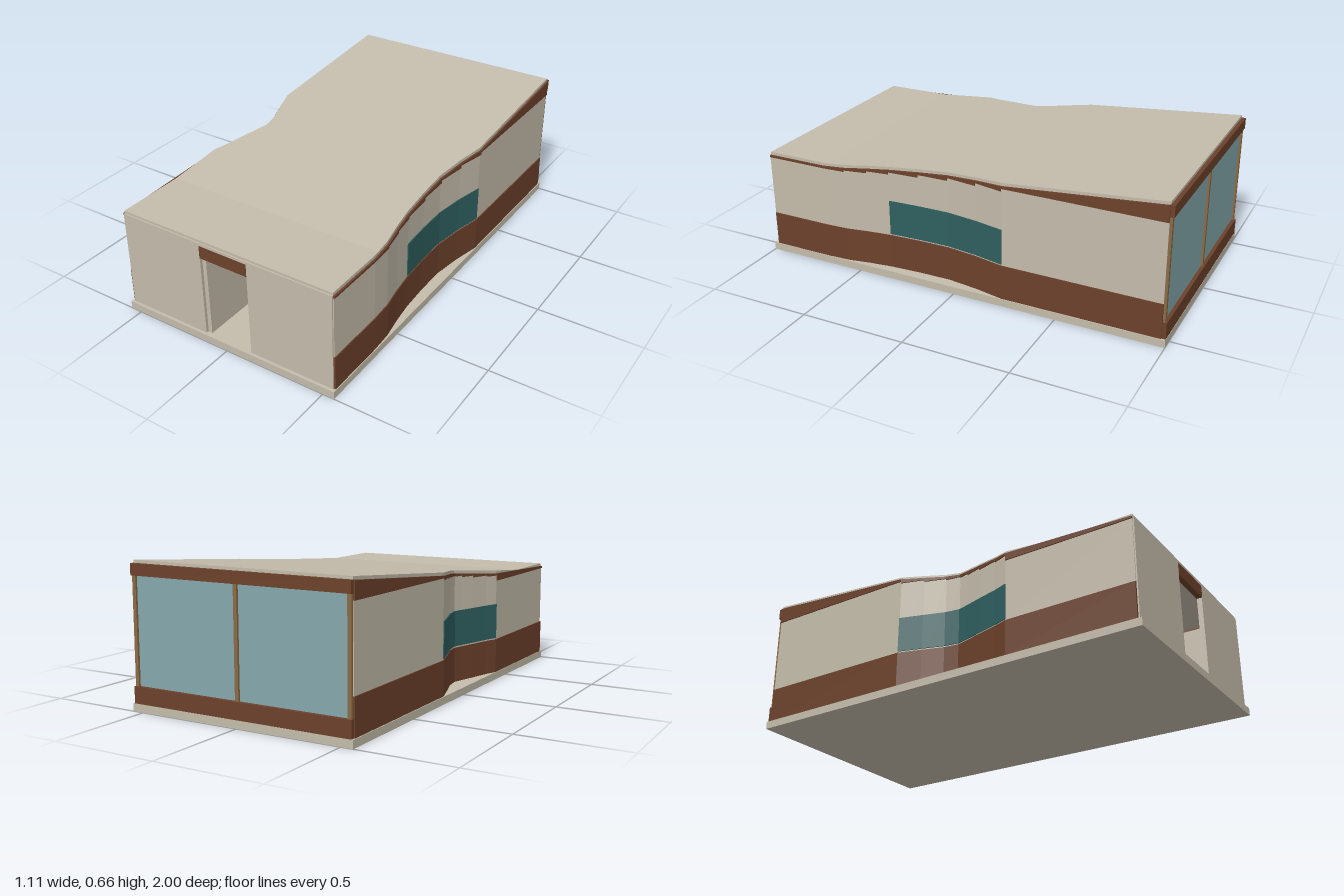
import * as THREE from 'three';

const mat = (name, color, side = THREE.FrontSide) => {
  const m = new THREE.MeshStandardMaterial({ color, side });
  m.name = name;
  return m;
};

// Flat-faced bar through rectangular sections [z, x0, x1, y0, y1], front to back
function loft(sections) {
  const pos = [];
  const rings = sections.map(([z, x0, x1, y0, y1]) => [[x0, y0, z], [x1, y0, z], [x1, y1, z], [x0, y1, z]]);
  const quad = (a, b, c, d) => pos.push(...a, ...b, ...c, ...a, ...c, ...d);
  for (let s = 0; s < rings.length - 1; s++) {
    const a = rings[s], b = rings[s + 1];
    for (let i = 0; i < 4; i++) quad(a[i], b[i], b[(i + 1) % 4], a[(i + 1) % 4]);
  }
  const f = rings[0], e = rings[rings.length - 1];
  quad(f[0], f[1], f[2], f[3]);
  quad(e[3], e[2], e[1], e[0]);
  const g = new THREE.BufferGeometry();
  g.setAttribute('position', new THREE.Float32BufferAttribute(pos, 3));
  g.computeVertexNormals();
  return g;
}

// Plan of each long side as [z, distance from the centre line]
const RIGHT = [[0.98, 0.543], [0.68, 0.543], [0.57, 0.537], [0.46, 0.518], [0.35, 0.504], [0.2, 0.496],
  [0.05, 0.494], [-0.1, 0.514], [-0.24, 0.543], [-0.98, 0.543]];
const LEFT = [[0.98, 0.545], [0.37, 0.545], [0.3, 0.522], [0.2, 0.497], [0.12, 0.475], [0.07, 0.463],
  [0, 0.474], [-0.1, 0.508], [-0.21, 0.543], [-0.98, 0.543]];

function across(path, z) {
  for (let i = 0; i < path.length - 1; i++) {
    const [z0, x0] = path[i], [z1, x1] = path[i + 1];
    if (z <= z0 && z >= z1) return x0 + ((x1 - x0) * (z0 - z)) / (z0 - z1);
  }
  return path[0][1];
}

// Roof is level at the front, then rises to the back
const roofTop = (z) => 0.515 + (z < 0.65 ? ((0.65 - z) * 0.145) / 1.63 : 0);
const roofUnder = (z) => roofTop(z) - 0.014;

export function createModel() {
  const model = new THREE.Group();
  const plaster = mat('plaster', 0xc4bcab);
  const brown = mat('brown cladding', 0x6c412b);
  const teal = mat('dark teal glass', 0x2f5f5f);
  const glass = mat('pale blue glass', 0x85a9ad, THREE.DoubleSide);
  const tan = mat('tan frame', 0x8a6a45);

  const add = (name, geometry, material, parent = model) => {
    const m = new THREE.Mesh(geometry, material);
    m.name = name;
    parent.add(m);
    return m;
  };
  const box = (name, material, x0, x1, y0, y1, z0, z1) => {
    const m = add(name, new THREE.BoxGeometry(x1 - x0, y1 - y0, z1 - z0), material);
    m.position.set((x0 + x1) / 2, (y0 + y1) / 2, (z0 + z1) / 2);
  };

  box('baseSlab', plaster, -0.556, 0.556, 0, 0.036, -1, 1);

  // Roof sheet following both pinched sides
  const zs = [...new Set([...RIGHT, ...LEFT].map((p) => p[0]).concat(0.65))].sort((a, b) => b - a);
  add('roof', loft(zs.map((z) => [z, -across(LEFT, z), across(RIGHT, z), roofUnder(z), roofTop(z)])), plaster);

  // Long side walls: cladding below, plaster above, stepped trim under the roof, curved window
  const side = (name, path, sign, winFront, winBack) => {
    const group = new THREE.Group();
    group.name = name;
    model.add(group);
    const section = (z, x, inner, outer, y0, y1) => {
      const a = sign * (x + inner), b = sign * (x + outer);
      return [z, Math.min(a, b), Math.max(a, b), y0, y1];
    };
    add('lowerCladding', loft(path.map(([z, x]) => section(z, x, -0.02, 0.009, 0.036, 0.2))), brown, group);
    for (let i = 0; i < path.length - 1; i++) {
      const ends = [path[i], path[i + 1]];
      const top = roofUnder(ends[0][0]) - 0.01;
      add('upperWall', loft(ends.map(([z, x]) => section(z, x, -0.02, 0.004, 0.2, top))), plaster, group);
      add('roofTrim', loft(ends.map(([z, x]) => section(z, x, -0.02, 0.009, top, roofUnder(z)))), brown, group);
    }
    const win = path.filter(([z]) => z <= winFront && z >= winBack);
    add('sideWindow', loft(win.map(([z, x]) => section(z, x, 0.002, 0.0085, 0.207, 0.375))), teal, group);
  };
  side('rightSide', RIGHT, 1, 0.35, -0.24);
  side('leftSide', LEFT, -1, 0.37, -0.21);

  // Front wall with an open doorway
  box('frontWall', plaster, -0.545, -0.123, 0.036, 0.503, 0.962, 0.986);
  box('frontWall', plaster, 0.123, 0.543, 0.036, 0.503, 0.962, 0.986);
  box('frontWallTop', plaster, -0.123, 0.123, 0.49, 0.503, 0.962, 0.986);
  box('doorHeader', brown, -0.123, 0.123, 0.43, 0.49, 0.962, 0.988);
  box('openDoor', plaster, -0.12, -0.1, 0.036, 0.43, 0.6, 0.975);

  // Glazed back wall
  box('backSill', brown, -0.547, 0.547, 0.036, 0.112, -0.999, -0.972);
  box('backBeam', brown, -0.547, 0.547, 0.595, 0.647, -0.999, -0.975);
  box('backGlass', glass, -0.54, 0.54, 0.112, 0.595, -0.982, -0.976);
  for (const x of [-0.535, 0, 0.535]) box('backMullion', tan, x - 0.009, x + 0.009, 0.112, 0.595, -0.992, -0.974);
  box('innerPost', brown, -0.011, 0.011, 0.036, 0.42, -0.972, -0.95);

  return model;
}
